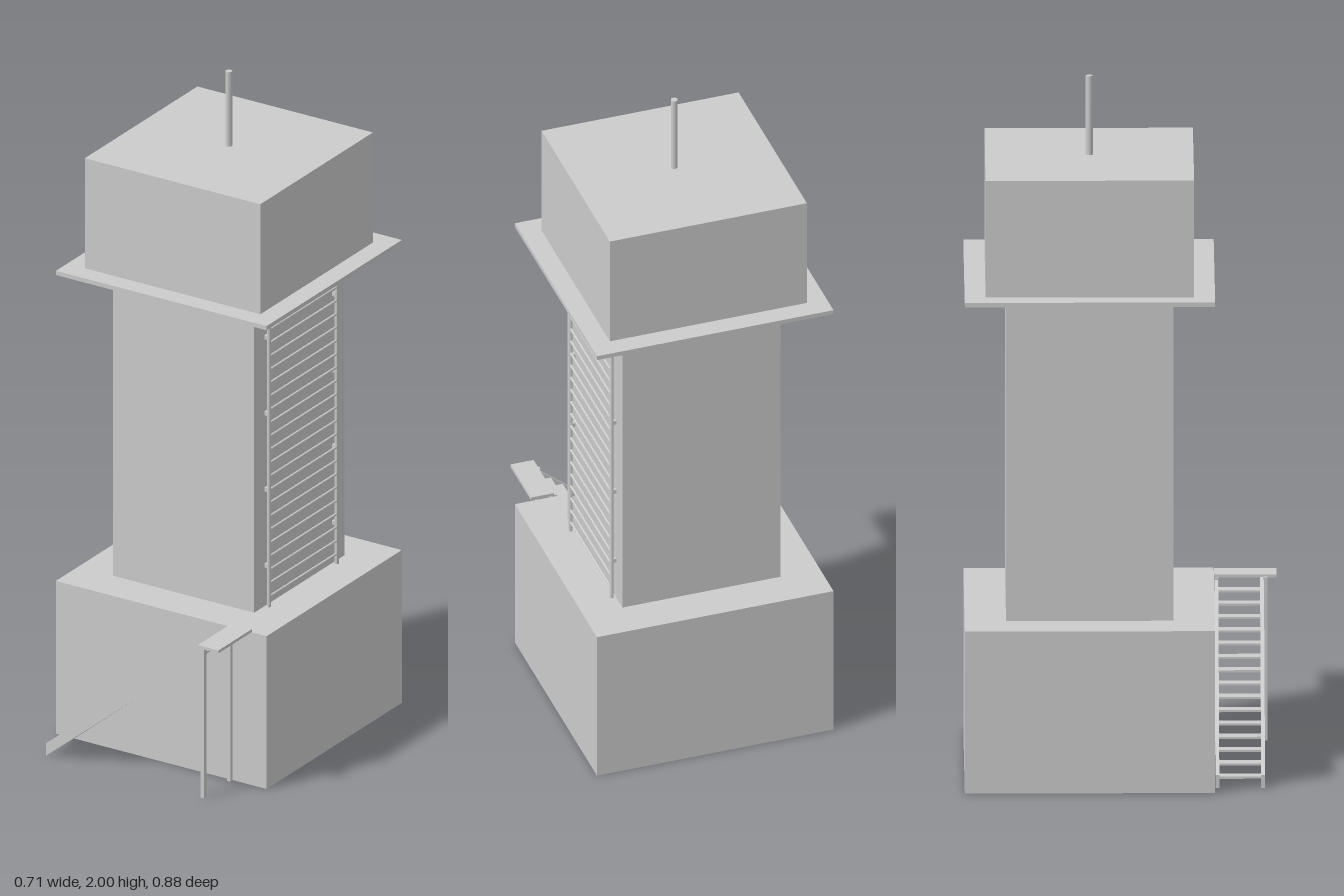
import * as THREE from 'three';

const material = new THREE.MeshStandardMaterial({ color: 0xcccccc, flatShading: true });

export function createModel() {
  const model = new THREE.Group();

  function add(parent, name, geometry, x = 0, y = 0, z = 0) {
    const mesh = new THREE.Mesh(geometry, material);
    mesh.name = name;
    mesh.position.set(x, y, z);
    parent.add(mesh);
    return mesh;
  }

  // Box given by its minimum and maximum on each axis
  function box(parent, name, [x0, x1], [y0, y1], [z0, z1]) {
    return add(parent, name, new THREE.BoxGeometry(x1 - x0, y1 - y0, z1 - z0),
      (x0 + x1) / 2, (y0 + y1) / 2, (z0 + z1) / 2);
  }

  function group(name) {
    const g = new THREE.Group();
    g.name = name;
    model.add(g);
    return g;
  }

  // Stacked square blocks of the tower: name, half width, bottom, top
  const towerZ = -0.09;
  const blocks = [
    ['base', 0.353, 0, 0.472],
    ['shaft', 0.236, 0.472, 1.417],
    ['platform', 0.353, 1.417, 1.43],
    ['cabin', 0.294, 1.43, 1.77],
  ];
  for (const [name, half, bottom, top] of blocks) {
    box(model, name, [-half, half], [bottom, top], [towerZ - half, towerZ + half]);
  }
  add(model, 'antenna', new THREE.CylinderGeometry(0.01, 0.01, 0.23, 12), 0, 1.885, towerZ);

  // Wide ladder on the left face of the shaft, held off by brackets
  const ladder = group('ladder');
  const ladderX = 0.248, ladderHalf = 0.177;
  for (const side of [-1, 1]) {
    const z = towerZ + side * ladderHalf;
    add(ladder, 'ladderRail', new THREE.CylinderGeometry(0.006, 0.006, 0.945, 8), ladderX, 0.9445, z);
    for (let i = 0; i < 4; i++) {
      const y = 0.598 + i * 0.235;
      box(ladder, 'ladderBracket', [0.235, ladderX], [y - 0.006, y + 0.006], [z - 0.006, z + 0.006]);
    }
  }
  const rung = new THREE.CylinderGeometry(0.004, 0.004, ladderHalf * 2, 8).rotateX(Math.PI / 2);
  for (let i = 0; i < 22; i++) {
    add(ladder, 'ladderRung', rung, ladderX, 0.502 + i * 0.0412, towerZ);
  }

  // Straight open stair along the front of the base
  const stair = group('stair');
  const startX = -0.295, endX = 0.236, steps = 15;
  const stringer = new THREE.ExtrudeGeometry(new THREE.Shape([
    new THREE.Vector2(startX, 0),
    new THREE.Vector2(endX, 0.437),
    new THREE.Vector2(endX, 0.475),
    new THREE.Vector2(startX, 0.038),
  ]), { depth: 0.011, bevelEnabled: false });
  for (const z of [0.264, 0.393]) add(stair, 'stringer', stringer, 0, 0, z);

  const run = (endX - startX) / steps;
  for (let i = 0; i < steps; i++) {
    const x = startX + i * run, y = (i + 1) * 0.0295;
    box(stair, 'tread', [x, x + run], [y - 0.003, y + 0.003], [0.275, 0.393]);
  }

  // Landing slab at the head of the stair, on two posts
  box(stair, 'landing', [0.236, 0.305], [0.474, 0.483], [0.264, 0.44]);
  for (const z of [0.264, 0.402]) {
    box(stair, 'landingPost', [0.228, 0.24], [0, 0.476], [z, z + 0.012]);
  }

  return model;
}
